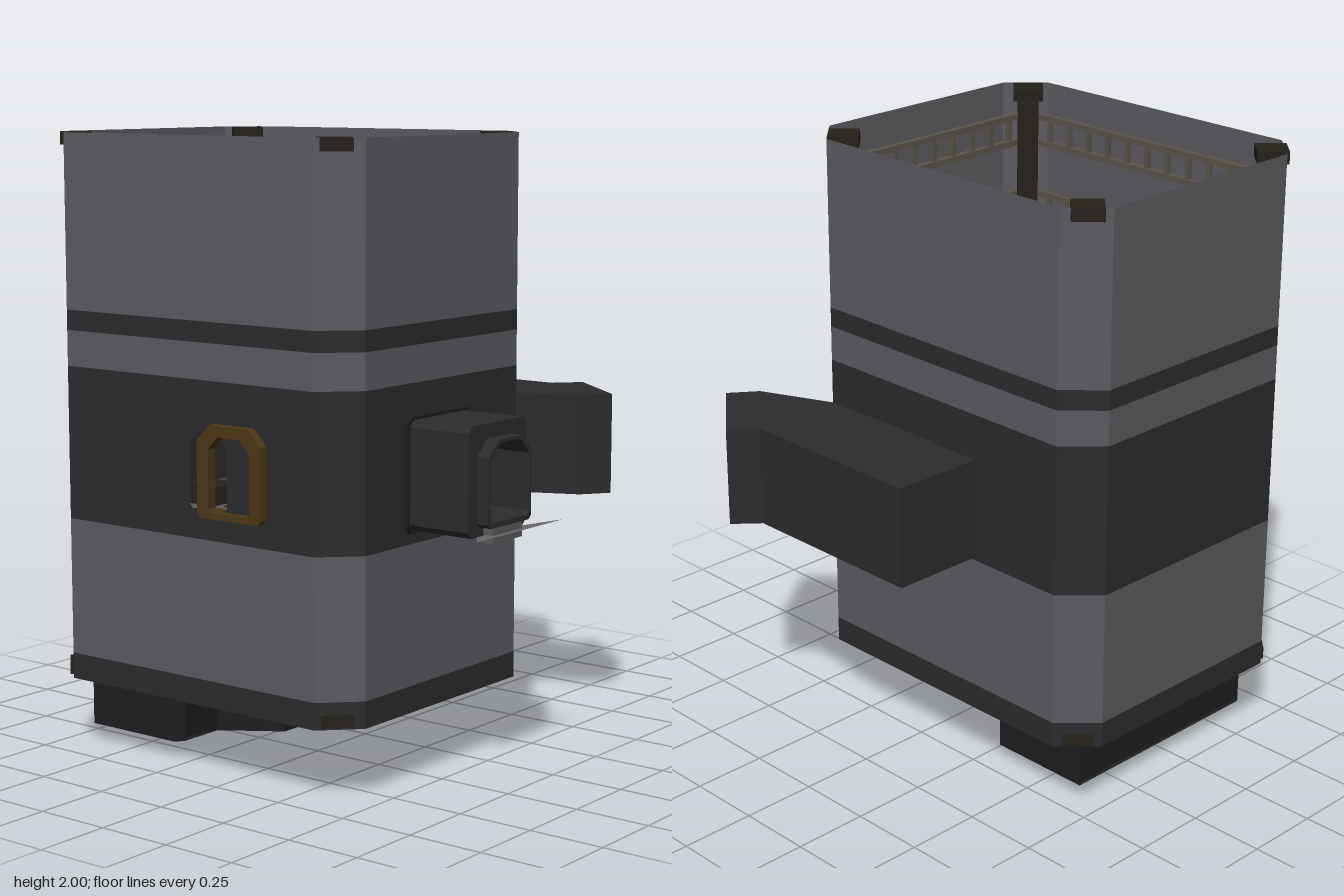
import * as THREE from 'three';

const C = { mid: 0x5c5b60, dark: 0x2c2c2e, black: 0x1e1e20, floor: 0x5a5a5c, post: 0x25211b,
  rail: 0x5a5448, brass: 0x4d3818, rust: 0x3c1b19, red: 0xb02014, purple: 0x5a38b0, box: 0x262220 };

export function createModel() {
  const root = new THREE.Group();
  const mats = {};
  const mat = (c) => (mats[c] ??= new THREE.MeshStandardMaterial({ color: c, side: THREE.DoubleSide, flatShading: true }));
  const add = (name, geo, color, parent = root) => {
    const m = new THREE.Mesh(geo, mat(color));
    m.name = name;
    parent.add(m);
    return m;
  };
  const group = (name) => {
    const g = new THREE.Group();
    g.name = name;
    root.add(g);
    return g;
  };
  // box given by its min and max corners
  const box = (name, x0, x1, y0, y1, z0, z1, color, parent) => {
    const m = add(name, new THREE.BoxGeometry(x1 - x0, y1 - y0, z1 - z0), color, parent);
    m.position.set((x0 + x1) / 2, (y0 + y1) / 2, (z0 + z1) / 2);
    return m;
  };
  const vec = (pts) => pts.map(([x, y]) => new THREE.Vector2(x, y));
  // rectangle with cut corners; the bottom cut may differ
  const cutRect = (x0, x1, y0, y1, c, b = c) => [[x0 + b, y0], [x1 - b, y0], [x1, y0 + b], [x1, y1 - c],
    [x1 - c, y1], [x0 + c, y1], [x0, y1 - c], [x0, y0 + b]];
  const shapeOf = (pts, hole) => {
    const s = new THREE.Shape(vec(pts));
    if (hole) s.holes.push(new THREE.Path(vec(hole)));
    return s;
  };
  const flip = (pts) => pts && pts.map(([x, z]) => [x, -z]);
  // horizontal sheet or slab from a plan outline [x, z]
  const slab = (name, pts, y0, y1, color, hole, parent) => {
    const s = shapeOf(flip(pts), flip(hole));
    const g = y1 > y0 ? new THREE.ExtrudeGeometry(s, { depth: y1 - y0, bevelEnabled: false }) : new THREE.ShapeGeometry(s);
    return add(name, g.rotateX(-Math.PI / 2).translate(0, y0, 0), color, parent);
  };
  // upright wall from plan point p to q; hole in [distance from p, y]
  const wall = (name, p, q, y0, y1, color, hole, parent) => {
    const len = Math.hypot(q[0] - p[0], q[1] - p[1]);
    const m = add(name, new THREE.ShapeGeometry(shapeOf([[0, y0], [len, y0], [len, y1], [0, y1]], hole)), color, parent);
    m.position.set(p[0], 0, p[1]);
    m.rotation.y = -Math.atan2(q[1] - p[1], q[0] - p[0]);
    return m;
  };
  const ring = (name, outer, inner, z0, z1, color, parent) => {
    const g = new THREE.ExtrudeGeometry(shapeOf(outer, inner), { depth: z1 - z0, bevelEnabled: false });
    return add(name, g.translate(0, 0, z0), color, parent);
  };
  const tube = (name, pts, r, color, parent, closed = false) => {
    const path = new THREE.CurvePath();
    const v = pts.map((p) => new THREE.Vector3(...p));
    if (closed) v.push(v[0]);
    for (let i = 1; i < v.length; i++) path.add(new THREE.LineCurve3(v[i - 1], v[i]));
    return add(name, new THREE.TubeGeometry(path, pts.length * 10, r, 6), color, parent);
  };

  // Tower walls in coloured bands, with three doorways in the wide dark band
  const plan = [[-0.6, 0.47], [0.185, 0.47], [0.295, 0.36], [0.295, -0.65], [0.185, -0.76], [-0.6, -0.76], [-0.71, -0.65], [-0.71, 0.36]];
  const bands = [[0.235, 0.32, C.dark], [0.32, 0.765, C.mid], [0.765, 1.26, C.dark], [1.26, 1.375, C.mid], [1.375, 1.44, C.dark], [1.44, 2, C.mid]];
  const doors = { 0: cutRect(0.25, 0.46, 0.85, 1.1, 0.05, 0.01), 2: cutRect(0.22, 0.45, 0.83, 1.08, 0.03, 0.01), 6: cutRect(0.52, 0.67, 0.86, 1.1, 0.04, 0.01) };
  const tower = group('towerWalls');
  plan.forEach((p, i) => bands.forEach(([y0, y1, c], k) =>
    wall('wallPanel', p, plan[(i + 1) % 8], y0, y1, c, k === 2 ? doors[i] : null, tower)));

  // Base, floor and the sunken pit
  const pit = [[-0.57, -0.64], [0.15, -0.64], [0.15, -0.33], [-0.01, -0.33], [-0.15, -0.15], [-0.26, -0.15], [-0.42, -0.33], [-0.57, -0.33]];
  const tub = [[-0.6, -0.67], [0.185, -0.67], [0.185, -0.31], [0.14, -0.29], [0, -0.29], [-0.13, -0.106], [-0.29, -0.106], [-0.415, -0.29], [-0.57, -0.29], [-0.6, -0.31]];
  slab('baseSlab', plan.map(([x, z]) => [(x + 0.2075) * 0.99 - 0.2075, (z + 0.145) * 0.99 - 0.145]), 0.236, 0.29, C.dark, pit);
  slab('floor', plan, 0.295, 0.295, C.floor, pit);
  tub.forEach((p, i) => wall('pitWall', p, tub[(i + 1) % tub.length], 0.055, 0.236, C.black));
  slab('pitFloor', tub, 0.055, 0.065, C.dark);
  tube('pitRim', pit.map(([x, z]) => [x, 0.31, z]), 0.012, C.rust, root, true);
  box('drainRod', -0.045, -0.035, 0, 0.06, -0.325, -0.315, C.post);
  for (const x of [-0.53, -0.26, 0.13]) box('pitFoot', x - 0.015, x + 0.015, 0.04, 0.06, -0.64, -0.6, C.black);
  const bolts = group('baseBolts');
  for (let i = 0; i < 7; i++) for (let j = 0; j < 4; j++) {
    const b = add('bolt', new THREE.CylinderGeometry(0.012, 0.012, 0.01, 6), C.black, bolts);
    b.position.set(-0.55 + i * 0.115, 0.232, -0.02 + j * 0.13);
  }

  // Corner posts with wider caps at both ends
  const posts = group('cornerPosts');
  for (const x of [-0.625, 0.21]) for (const z of [-0.68, 0.375]) {
    for (const [w, y0, y1] of [[0.07, 0.29, 1.97], [0.1, 1.96, 2], [0.1, 0.24, 0.28]]) {
      const m = box('cornerPost', x - w / 2, x + w / 2, y0, y1, z - w / 2, z + w / 2, C.post, posts);
      m.rotation.y = Math.PI / 4;
    }
  }

  // Ladder-like rails along the inner walls
  const rails = group('wallRails');
  for (const [lo, hi] of [[1.81, 1.9], [1.53, 1.63]]) {
    for (const z of [-0.72, 0.395]) {
      for (const y of [lo, hi]) box('rail', -0.6, 0.19, y - 0.01, y + 0.01, z - 0.011, z + 0.011, C.rail, rails);
      for (let i = 0; i < 9; i++) box('rung', -0.56 + i * 0.088, -0.545 + i * 0.088, lo, hi, z - 0.008, z + 0.008, C.rail, rails);
    }
    for (const x of [-0.645, 0.23]) {
      for (const y of [lo, hi]) box('rail', x - 0.011, x + 0.011, y - 0.01, y + 0.01, -0.64, 0.34, C.rail, rails);
      for (let i = 0; i < 11; i++) box('rung', x - 0.008, x + 0.008, lo, hi, -0.6 + i * 0.088, -0.585 + i * 0.088, C.rail, rails);
    }
  }

  // Painted conduits on the back wall
  tube('redConduit', [[-0.5, 0.84, -0.735], [-0.33, 1.01, -0.735], [-0.15, 0.91, -0.735]], 0.022, C.red);
  tube('redBranch', [[-0.33, 1.0, -0.735], [-0.28, 1.1, -0.735]], 0.022, 0x701510);
  tube('purpleConduit', [[-0.25, 1.08, -0.735], [-0.13, 1.02, -0.735], [0.1, 1.15, -0.735]], 0.022, C.purple);

  // Floor pipes between the pit and the front machine
  const y = 0.33;
  for (const [x, z0, end, r, c] of [[-0.52, -0.38, -0.33, 0.01, C.rail], [-0.375, -0.32, -0.32, 0.008, C.rail],
    [-0.04, -0.33, -0.17, 0.008, C.rail], [0.085, -0.39, -0.17, 0.014, C.black]]) {
    const s = Math.sign(end - x);
    const z1 = x === -0.04 ? 0.25 : 0.28;
    tube('floorPipe', [[x, y, z0], [x, y, z1 - 0.05], [x + s * 0.015, y, z1 - 0.015], [x + s * 0.05, y, z1], [end, y, z1]], r, c);
  }
  tube('mainHose', [[-0.26, 0.36, -0.18], [-0.24, 0.5, 0.19]], 0.022, C.black);

  // Inner platforms at door level with tall machine blocks
  const platform = (name, x0, x1, z0, z1, color) => {
    const g = group(name);
    box('deck', x0, x1, 0.82, 0.84, z0, z1, color, g);
    for (const x of [x0 + 0.006, x1 - 0.006]) for (const z of [z0 + 0.006, z1 - 0.006])
      box('railPost', x - 0.005, x + 0.005, 0.84, 0.94, z - 0.005, z + 0.005, C.post, g);
    return g;
  };
  const left = platform('rightDoorPlatform', -0.705, -0.435, -0.29, 0.125, C.floor);
  for (const x of [-0.69, -0.62, -0.555, -0.515]) box('stripe', x - 0.01, x + 0.01, 0.84, 0.846, -0.12, 0.02, C.brass, left);
  const grate = platform('leftDoorPlatform', 0.11, 0.29, -0.21, 0.32, C.black);
  for (let i = 0; i < 20; i++) box('grateBar', 0.135, 0.28, 0.84, 0.846, -0.19 + i * 0.025, -0.18 + i * 0.025, C.mid, grate);
  box('planter', 0.14, 0.23, 0.84, 0.88, 0.23, 0.3, 0x26301f, grate);
  const entry = platform('frontPlatform', -0.335, -0.165, 0.16, 0.465, C.floor);
  for (let i = 0; i < 8; i++) box('grateBar', -0.29, -0.2, 0.84, 0.846, 0.3 + i * 0.02, 0.312 + i * 0.02, C.black, entry);
  box('frontMachine', -0.31, -0.18, 0.295, 0.86, 0.165, 0.285, C.box);
  box('rightMachine', -0.575, -0.45, 0.295, 0.9, -0.29, -0.155, C.box);
  box('leftMachine', 0.03, 0.16, 0.295, 0.9, -0.21, -0.06, C.box);

  // Brass frame around the doorway on the -x wall
  const frame = ring('brassDoorFrame', cutRect(-0.075, 0.18, 0.84, 1.13, 0.05, 0.015), cutRect(-0.03, 0.135, 0.86, 1.095, 0.04, 0.01), 0, 0.035, C.brass);
  frame.rotation.y = -Math.PI / 2;
  frame.position.x = -0.705;

  // Front porch
  const porch = group('frontPorch');
  const mouth = cutRect(-0.345, -0.14, 0.855, 1.095, 0.05, 0.012);
  ring('flange', cutRect(-0.41, -0.085, 0.8, 1.16, 0.02), mouth, 0.465, 0.485, C.black, porch);
  ring('body', cutRect(-0.4, -0.095, 0.81, 1.15, 0.02), mouth, 0.485, 0.7, C.dark, porch);
  ring('collar', cutRect(-0.355, -0.13, 0.84, 1.105, 0.05, 0.012), mouth, 0.7, 0.743, C.dark, porch);
  box('step', -0.32, -0.165, 0.79, 0.84, 0.7, 0.735, C.floor, porch);
  slab('groundSheet', [[-0.43, 0.755], [0.03, 0.755], [-0.13, 0.71], [-0.37, 0.71]], 0.815, 0.815, 0x66666a, null, porch);

  // Side passage: bent hall, open at its angled end
  const hall = group('sidePassage');
  const path = [[0.735, 0.37], [0.655, 0.3], [0.655, -0.355], [0.345, -0.355], [0.345, 0.305], [0.45, 0.545], [0.54, 0.61]];
  for (let i = 0; i < 6; i++) wall('hallWall', path[i], path[i + 1], 0.81, 1.14, C.dark, i === 3 ? cutRect(0.25, 0.5, 0.83, 1.08, 0.02) : null, hall);
  slab('hallRoof', path, 1.14, 1.14, C.dark, null, hall);
  slab('hallFloor', path, 0.81, 0.81, C.floor, null, hall);
  wall('linkWall', [0.295, 0.175], [0.345, 0.175], 0.81, 1.11, C.dark, null, hall);
  wall('linkWall', [0.345, -0.125], [0.295, -0.125], 0.81, 1.11, C.dark, null, hall);
  for (const h of [0.81, 1.11]) box('linkDeck', 0.295, 0.345, h - 0.003, h + 0.003, -0.125, 0.175, C.dark, hall);
  tube('lampPipe', [[0.65, 1.04, 0.2], [0.54, 1.04, 0.25], [0.5, 1.04, 0.52]], 0.006, C.black, hall);
  box('lamp', 0.52, 0.545, 1.02, 1.06, 0.4, 0.44, 0x6a9ad0, hall);
  box('crate', 0.55, 0.62, 0.81, 0.93, 0.02, 0.1, 0x33211b, hall);
  box('smallCrate', 0.57, 0.64, 0.81, 0.86, 0.14, 0.2, 0x26301f, hall);

  return root;
}
